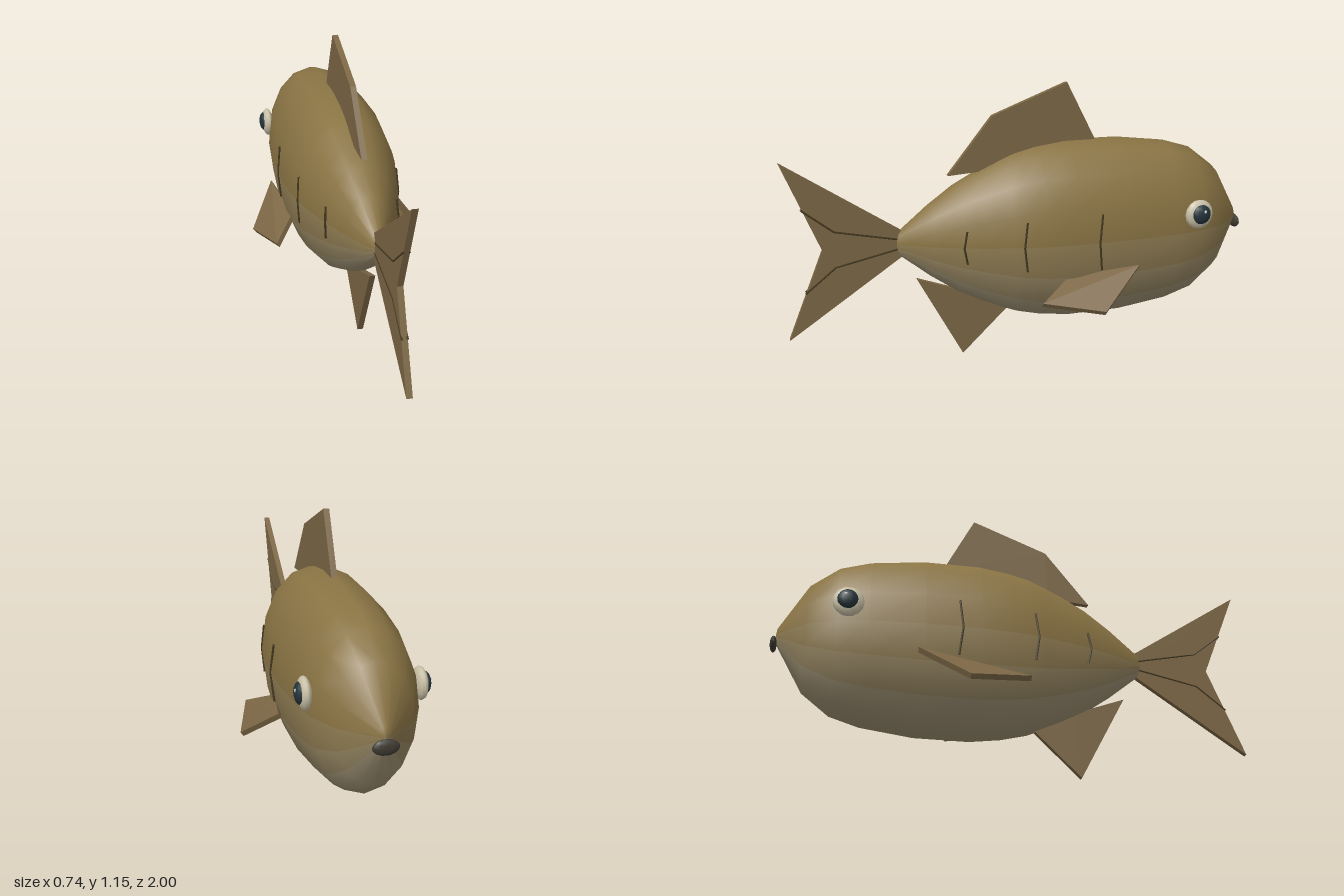
import * as THREE from 'three';
import { ConvexGeometry } from 'three/addons/geometries/ConvexGeometry.js';

const mat = (color) => new THREE.MeshStandardMaterial({ color });
const BACK = mat(0x8a7444), FLANK = mat(0x8f7c52), SIDE = mat(0x968662), BELLY = mat(0x9c8f72);
const FIN = mat(0x7c6745), LINE = mat(0x453a20), WHITE = mat(0xc9c0a6), DARK = mat(0x24343a);
const MOUTH = mat(0x3f3b33), GLINT = mat(0xffffff);
const MID_Y = 0.517;

export function createModel() {
  const root = new THREE.Group();
  const add = (name, geometry, material, parent = root) => {
    const mesh = new THREE.Mesh(geometry, material);
    mesh.name = name;
    parent.add(mesh);
    return mesh;
  };

  // Body: lathed along z, narrowed in x, shaded in strips from back to belly
  const profile = [[0, -0.98], [0.035, -0.975], [0.233, -0.86], [0.322, -0.745], [0.36, -0.62],
    [0.388, -0.4], [0.389, -0.17], [0.372, -0.04], [0.35, 0.05], [0.33, 0.1], [0.285, 0.2],
    [0.232, 0.3], [0.155, 0.41], [0.05, 0.54], [0, 0.555]];
  const sides = 16;
  const body = new THREE.LatheGeometry(profile.map(([r, z]) => new THREE.Vector2(r, z)), sides);
  body.rotateX(Math.PI / 2).scale(0.626, 1, 1).translate(0, MID_Y, 0);
  const perStrip = body.index.count / sides;
  for (let i = 0; i < sides; i++) {
    const fromBelly = Math.min(i, sides - 1 - i);
    body.addGroup(i * perStrip, perStrip, Math.max(0, 4 - fromBelly));
  }
  add('body', body, [BACK, FLANK, SIDE, BELLY, BELLY]);

  // Upright fins: outlines in (z, y), extruded across x
  const uprightFin = (name, outline) => {
    const shape = new THREE.Shape(outline.map(([z, y]) => new THREE.Vector2(z, y)));
    const geometry = new THREE.ExtrudeGeometry(shape, { depth: 0.024, bevelEnabled: false });
    geometry.rotateY(-Math.PI / 2).translate(0.012, 0, 0);
    add(name, geometry, FIN);
  };
  uprightFin('dorsalFin', [[0.33, 0.788], [0.14, 1.025], [-0.18, 1.148], [-0.31, 0.895], [-0.2, 0.82], [0.15, 0.8]]);
  uprightFin('tailFin', [[0.51, 0.56], [1, 0.885], [0.85, 0.517], [1, 0.147], [0.51, 0.475]]);
  uprightFin('analFin', [[0.47, 0.355], [0.28, 0], [0.07, 0.2], [0.15, 0.3], [0.25, 0.275]]);

  // Thin surface lines
  const line = (name, points, radius) => {
    const path = new THREE.CurvePath();
    const v = points.map((p) => new THREE.Vector3(...p));
    for (let i = 1; i < v.length; i++) path.add(new THREE.LineCurve3(v[i - 1], v[i]));
    add(name, new THREE.TubeGeometry(path, 8, radius, 5), LINE);
  };

  for (const s of [1, -1]) {
    const label = s > 0 ? 'left' : 'right';

    // Flank marks: z, half height, x at the ends and in the middle
    [[-0.264, 0.12, 0.233, 0.245], [0.05, 0.105, 0.209, 0.217], [0.285, 0.07, 0.146, 0.151]]
      .forEach(([z, h, xEnd, xMid], i) => line(`${label}FlankMark${i + 1}`,
        [[s * xEnd, MID_Y + h, z], [s * xMid, MID_Y, z + 0.014], [s * xEnd, MID_Y - h, z]], 0.0045));

    // Tail rays
    for (const up of [1, -1]) {
      line(`${label}TailRay`, [[s * 0.011, MID_Y + up * 0.02, 0.54],
        [s * 0.011, MID_Y + up * 0.075, 0.8], [s * 0.011, MID_Y + up * 0.175, 0.925]], 0.004);
    }

    // Pectoral fin: thin four-cornered slab
    const corners = [[0.245, 0.4, -0.425], [0.362, 0.256, -0.235], [0.295, 0.295, 0.012], [0.2, 0.365, -0.13]];
    const slab = corners.flatMap(([x, y, z]) => [-1, 1].map((t) =>
      new THREE.Vector3(s * (x + t * 0.006), y + t * 0.009, z)));
    add(`${label}PectoralFin`, new ConvexGeometry(slab), FIN);

    // Eye
    const eye = new THREE.Group();
    eye.name = `${label}Eye`;
    eye.position.set(s * 0.217, 0.595, -0.705);
    root.add(eye);
    const ball = (name, r, depth, x, y, z, material) => {
      const mesh = add(name, new THREE.SphereGeometry(r, 12, 8), material, eye);
      mesh.scale.x = depth;
      mesh.position.set(s * x, y, z);
    };
    ball('eyeWhite', 0.063, 0.42, 0, 0, 0, WHITE);
    ball('pupil', 0.042, 0.5, 0.017, 0.003, -0.003, DARK);
    ball('glint', 0.008, 1, 0.031, 0.017, -0.012, GLINT);
  }

  // Mouth
  const mouth = add('mouth', new THREE.SphereGeometry(1, 12, 8), MOUTH);
  mouth.scale.set(0.05, 0.03, 0.014);
  mouth.position.set(0, 0.484, -0.986);

  return root;
}
